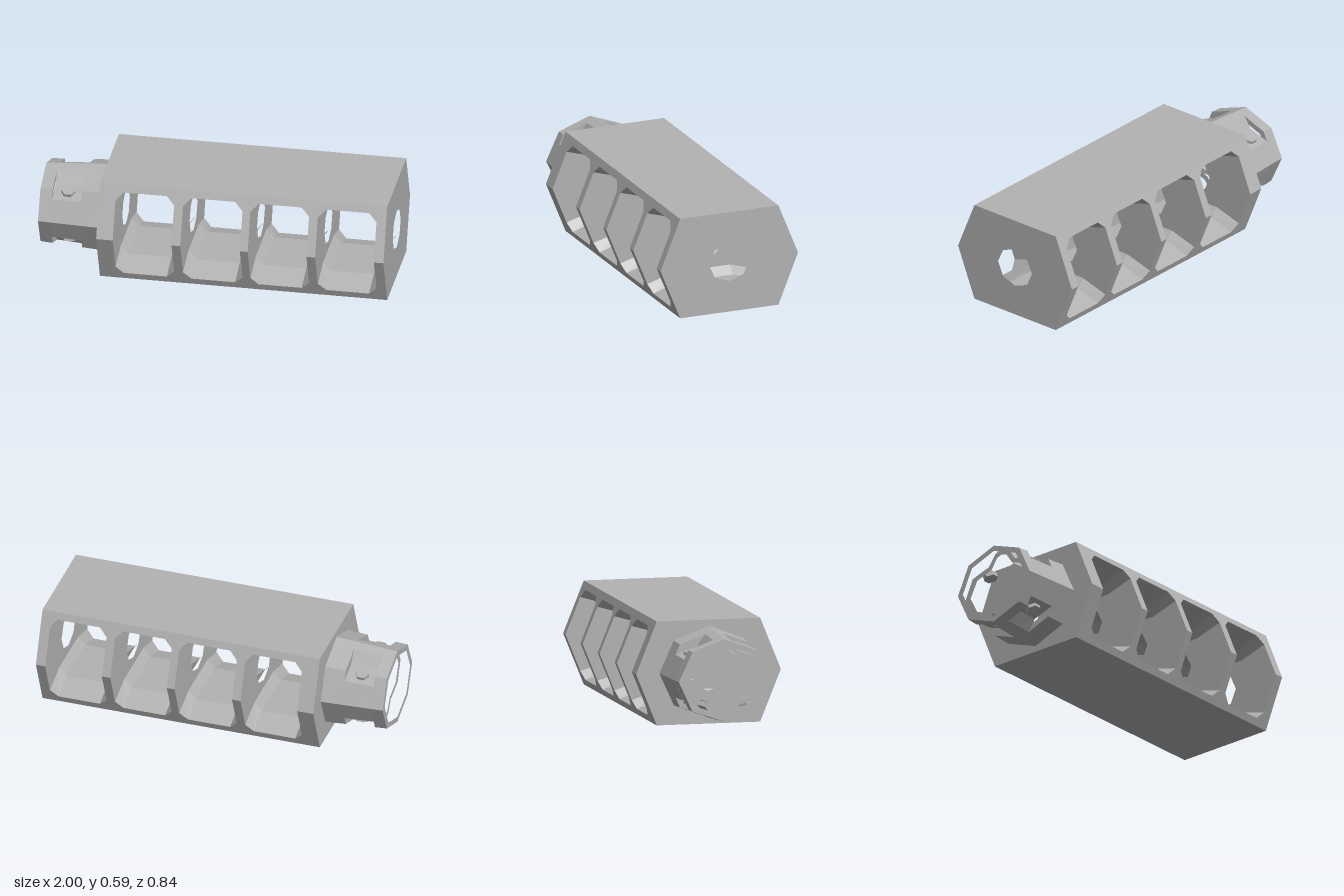
import * as THREE from 'three';

const MID = 0.295; // height of the bore axis
const HALF_TOP = 0.3, BULGE = 0.12;

// Extrude a (z, y) shape along x from x0 to x1
function prism(shape, x0, x1) {
  const geo = new THREE.ExtrudeGeometry(shape, { depth: x1 - x0, bevelEnabled: false });
  geo.rotateY(Math.PI / 2);
  geo.translate(x0, 0, 0);
  return geo;
}

// Full ring of points from a quarter running from the top apex to the side apex
function mirrorQuarter(q) {
  const right = [...q, ...q.slice(0, -1).reverse().map(([z, y]) => [z, -y])];
  const left = right.slice(1, -1).reverse().map(([z, y]) => [-z, y]);
  return [...right, ...left].map(([z, y]) => new THREE.Vector2(z, y));
}

function octagon(rz, ry) {
  const s = Math.SQRT1_2;
  return mirrorQuarter([[0, ry], [rz * s, ry * s], [rz, 0]]);
}

function ringShape(outer, inner) {
  const shape = new THREE.Shape(outer);
  shape.holes.push(new THREE.Path(inner));
  return shape;
}

// Flat-shaded skin through equal-length cross-sections of [x, y, z] points
function loft(sections) {
  const pos = [];
  for (let i = 0; i < sections.length - 1; i++) {
    const n = sections[i].length;
    for (let j = 0; j < n; j++) {
      const k = (j + 1) % n;
      const a = sections[i][j], b = sections[i][k];
      const c = sections[i + 1][k], d = sections[i + 1][j];
      pos.push(...a, ...b, ...c, ...a, ...c, ...d);
    }
  }
  const geo = new THREE.BufferGeometry();
  geo.setAttribute('position', new THREE.Float32BufferAttribute(pos, 3));
  geo.computeVertexNormals();
  return geo;
}

// Cross-section of the bottom slab: sloping lips and a raised flat middle
function slabSection(x, lift) {
  const lip = 0.04 + lift, floor = 0.088 + lift;
  const edge = HALF_TOP + BULGE * lip / MID;
  return [
    [x, 0, HALF_TOP], [x, 0, -HALF_TOP], [x, lip, -edge],
    [x, floor, -0.17], [x, floor, 0.17], [x, lip, edge],
  ];
}

// Neck widens towards the body
function taper(geo) {
  const p = geo.attributes.position;
  for (let i = 0; i < p.count; i++) {
    const t = (p.getX(i) + 1) / 0.36;
    p.setY(i, p.getY(i) * (0.235 + 0.025 * t) / 0.246);
    p.setZ(i, p.getZ(i) * (0.265 + 0.02 * t) / 0.274);
  }
  geo.computeVertexNormals();
  return geo;
}

export function createModel() {
  const group = new THREE.Group();
  const steel = new THREE.MeshStandardMaterial({ color: 0xb2b2b2 });
  steel.name = 'grey steel';

  const add = (name, geo, y = 0) => {
    const mesh = new THREE.Mesh(geo, steel);
    mesh.name = name;
    mesh.position.y = y;
    group.add(mesh);
    return mesh;
  };

  // Hexagonal walls with an octagonal bore
  const hex = mirrorQuarter([[HALF_TOP, MID], [HALF_TOP + BULGE, 0]]);
  const hexRing = [
    [HALF_TOP, MID], [HALF_TOP + BULGE, 0], [HALF_TOP, -MID],
    [-HALF_TOP, -MID], [-HALF_TOP - BULGE, 0], [-HALF_TOP, MID],
  ].map(([z, y]) => new THREE.Vector2(z, y));
  const outline = hex.length === 6 ? hex : hexRing;
  const walls = [[-0.64, -0.545], [-0.21, -0.16], [0.18, 0.225], [0.56, 0.61], [0.945, 1]];
  walls.forEach(([x0, x1], i) => {
    const s = i === 0 ? 0.95 : 1;
    add(i === 0 ? 'rearWall' : i === 4 ? 'frontWall' : 'baffle',
      prism(ringShape(outline, octagon(0.125 * s, 0.115 * s)), x0, x1), MID);
  });

  // Floor and roof of each side port, with chamfered corners
  for (let i = 0; i < 4; i++) {
    const x0 = walls[i][1], x1 = walls[i + 1][0], c = 0.045;
    const geo = loft([
      slabSection(x0, c), slabSection(x0 + c, 0), slabSection(x1 - c, 0), slabSection(x1, c),
    ]);
    add('portFloor', geo);
    add('portRoof', geo, 2 * MID).rotation.x = Math.PI;
  }

  // Hollow tapered neck; the middle length has four screw notches
  const plain = ringShape(octagon(0.274, 0.246), octagon(0.236, 0.211));
  const notched = ringShape(
    mirrorQuarter([[0, 0.246], [0.05, 0.227], [0.096, 0.16], [0.22, 0.12], [0.274, 0]]),
    mirrorQuarter([[0, 0.211], [0.035, 0.199], [0.078, 0.135], [0.185, 0.1], [0.236, 0]]),
  );
  add('neckMouth', taper(prism(plain, -1, -0.93)), MID);
  add('neckNotches', taper(prism(notched, -0.93, -0.76)), MID);
  add('neckBase', taper(prism(plain, -0.76, -0.64)), MID);

  // Hexagonal screw heads on the notch floors
  const head = new THREE.CylinderGeometry(0.04, 0.04, 0.03, 6).toNonIndexed();
  head.rotateY(Math.PI / 6);
  head.computeVertexNormals();
  for (const sy of [1, -1]) {
    for (const sz of [1, -1]) {
      const screw = add('screwHead', head, MID + sy * 0.144);
      screw.position.x = -0.845;
      screw.position.z = sz * 0.157;
      screw.rotation.x = 0.31 * sy * sz;
    }
  }
  return group;
}
